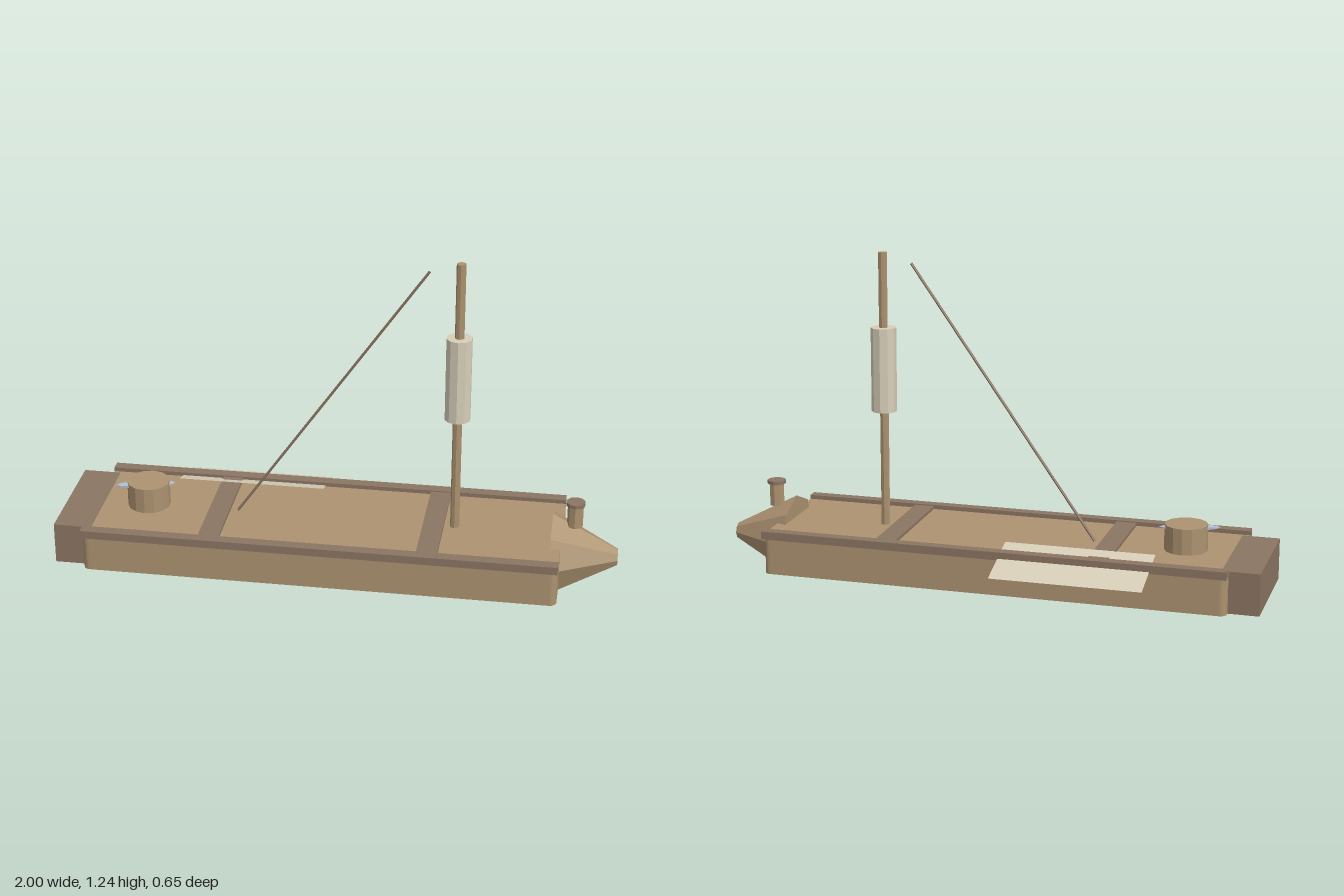
import * as THREE from 'three';

export function createModel() {
  const model = new THREE.Group();
  const CZ = 0.055; // centreline of the boat
  const mat = (color, side = THREE.FrontSide) => {
    const m = new THREE.MeshStandardMaterial({ color, side, flatShading: true });
    return m;
  };
  const wood = mat(0xac9270), darkWood = mat(0x8b7562);
  const cloth = mat(0xd6ceb8, THREE.DoubleSide), steel = mat(0xaebccb);

  const add = (name, geometry, material, x, y, z = CZ) => {
    const mesh = new THREE.Mesh(geometry, material);
    mesh.name = name;
    mesh.position.set(x, y, z);
    model.add(mesh);
    return mesh;
  };
  // Box and upright cylinder given by their extents
  const box = (name, m, x0, x1, y0, y1, z0, z1) =>
    add(name, new THREE.BoxGeometry(x1 - x0, y1 - y0, z1 - z0), m,
      (x0 + x1) / 2, (y0 + y1) / 2, (z0 + z1) / 2);
  const post = (name, m, x, y0, y1, r, sides) =>
    add(name, new THREE.CylinderGeometry(r, r, y1 - y0, sides), m, x, (y0 + y1) / 2);

  // Hull: rounded plan extruded upwards
  const x0 = -0.89, x1 = 0.8, w = 0.25, r = 0.025;
  const plan = new THREE.Shape();
  plan.absarc(x1 - r, w - r, r, 0, Math.PI / 2);
  plan.absarc(x0 + r, w - r, r, Math.PI / 2, Math.PI);
  plan.absarc(x0 + r, r - w, r, Math.PI, Math.PI * 1.5);
  plan.absarc(x1 - r, r - w, r, Math.PI * 1.5, Math.PI * 2);
  const hull = new THREE.ExtrudeGeometry(plan, { depth: 0.149, bevelEnabled: false, curveSegments: 3 });
  hull.rotateX(-Math.PI / 2);
  add('hull', hull, wood, 0, 0.085);

  // Stern block, side rails and cross beams
  box('sternBlock', darkWood, -1, -0.865, 0.085, 0.236, -0.16, 0.268);
  for (const s of [-1, 1]) {
    const z = CZ + s * 0.248;
    box(s > 0 ? 'leftRail' : 'rightRail', darkWood, x0, x1, 0.22, 0.249, z - 0.02, z + 0.02);
  }
  for (const x of [-0.435, 0.342])
    box('crossBeam', darkWood, x - 0.037, x + 0.037, 0.21, 0.245, -0.175, 0.285);

  // Bow: blunt eight-sided cone
  const bow = new THREE.CylinderGeometry(0.03, 0.154, 0.235, 8);
  bow.rotateZ(-Math.PI / 2);
  add('bow', bow, wood, 0.8825, 0.159);

  // Capped bow post
  post('bowPost', wood, 0.843, 0.273, 0.357, 0.028, 8);
  post('bowPostCap', darkWood, 0.843, 0.355, 0.368, 0.034, 10);

  // Mast with furled sail
  post('mast', wood, 0.417, 0.23, 1.24, 0.0165, 8);
  post('furledSail', cloth, 0.417, 0.66, 0.968, 0.046, 10);

  // Slanting stay
  const from = new THREE.Vector3(-0.37, 0.235, CZ), to = new THREE.Vector3(0.31, 1.205, CZ);
  const mid = from.clone().lerp(to, 0.5);
  const stay = add('stay', new THREE.CylinderGeometry(0.005, 0.005, from.distanceTo(to), 6),
    darkWood, mid.x, mid.y);
  stay.quaternion.setFromUnitVectors(new THREE.Vector3(0, 1, 0), to.clone().sub(from).normalize());

  // Loose sheet of cloth, tilted down over the right rail
  const sheet = new THREE.PlaneGeometry(0.54, Math.hypot(0.22, 0.066));
  sheet.rotateX(-Math.PI / 2 - Math.atan(0.3));
  add('sheet', sheet, cloth, -0.355, 0.224, -0.22);

  // Drum on the after deck with a pointed bar through it
  post('drum', wood, -0.7, 0.23, 0.328, 0.077, 14);
  const bar = new THREE.SphereGeometry(1, 6, 6);
  bar.rotateZ(Math.PI / 2);
  bar.scale(0.108, 0.012, 0.026);
  add('drumBar', bar, steel, -0.711, 0.315, 0.06).rotation.y = 0.25;

  return model;
}
